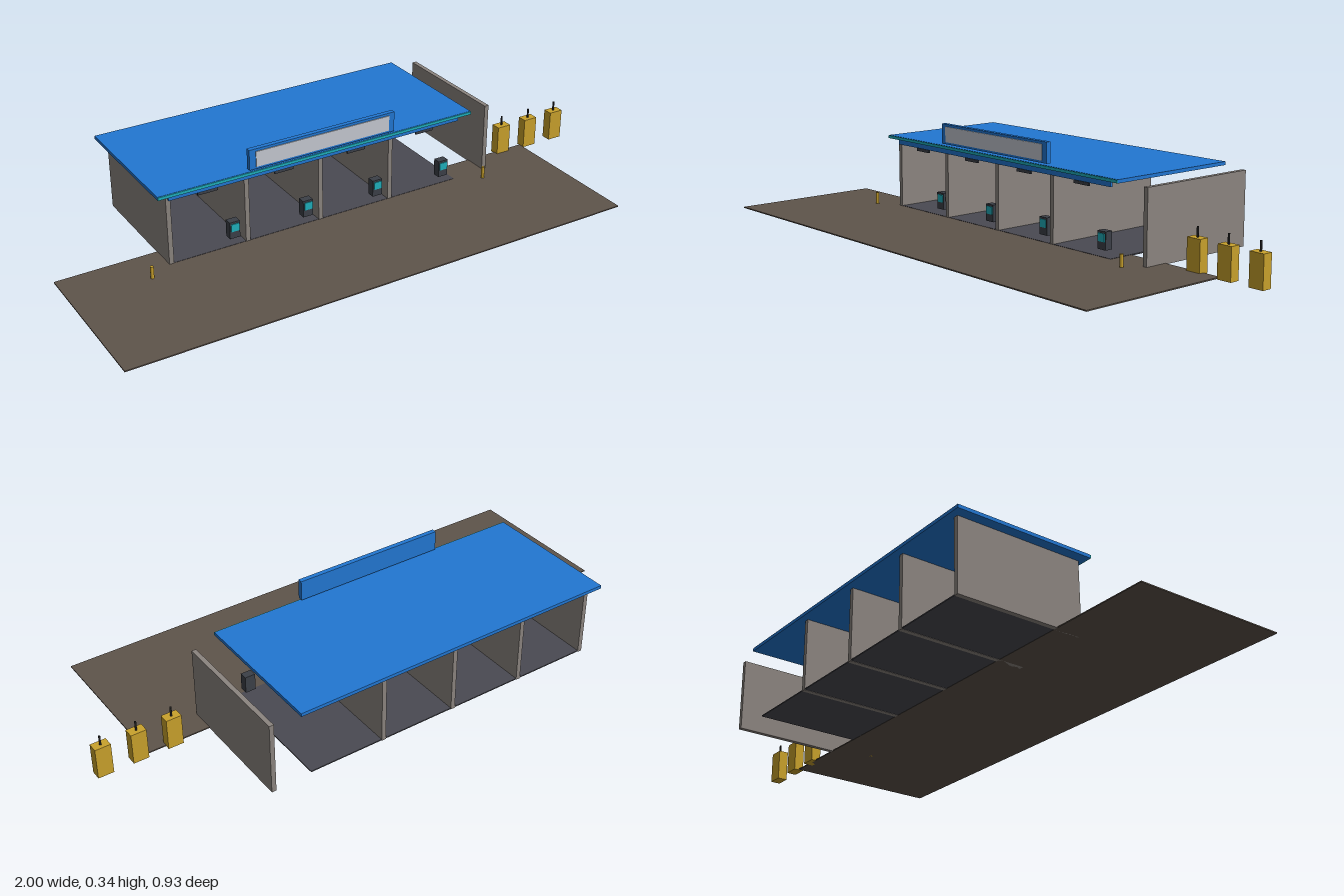
import * as THREE from 'three';

const paint = (name, color) => {
  const m = new THREE.MeshStandardMaterial({ color });
  m.name = name;
  return m;
};

export function createModel() {
  const blue = paint('blue', 0x2277d2);
  const teal = paint('teal', 0x1fb0bd);
  const wallGrey = paint('wallGrey', 0x8c8580);
  const asphalt = paint('asphalt', 0x5e544b);
  const concrete = paint('bayFloorGrey', 0x4a4a52);
  const signWhite = paint('signPanelGrey', 0xc6cad2);
  const slate = paint('slate', 0x3c4048);
  const yellow = paint('yellow', 0xcaa22c);
  const black = paint('black', 0x222222);

  const root = new THREE.Group();
  root.name = 'carWash';

  // Box given by its min and max on each axis
  const box = (name, mat, [x0, x1], [y0, y1], [z0, z1], parent = root) => {
    const mesh = new THREE.Mesh(new THREE.BoxGeometry(x1 - x0, y1 - y0, z1 - z0), mat);
    mesh.position.set((x0 + x1) / 2, (y0 + y1) / 2, (z0 + z1) / 2);
    mesh.name = name;
    parent.add(mesh);
    return mesh;
  };
  const around = (c, size) => [c - size / 2, c + size / 2];

  // Ground
  box('forecourt', asphalt, [-1, 0.823], [0, 0.004], [-0.08, 0.466]);
  box('bayFloor', concrete, [-0.64, 0.457], [0.001, 0.005], [-0.442, 0.012]);

  // Bay dividing walls and the separate end wall
  const bay = 0.275;
  for (let i = 0; i < 4; i++) {
    box('bayWall', wallGrey, around(-0.64 + i * bay, 0.016), [0, 0.252], [-0.443, 0.013]);
  }
  box('endWall', wallGrey, around(0.595, 0.016), [0, 0.252], [-0.45, 0.003]);

  // Roof with front trim and fascia
  box('roof', blue, [-0.682, 0.503], [0.253, 0.265], [-0.467, 0.031]);
  box('roofTrim', teal, [-0.682, 0.503], [0.254, 0.264], [0.031, 0.035]);
  box('fascia', blue, [-0.64, 0.46], [0.234, 0.253], [0.011, 0.019]);

  // Roof sign
  const sign = new THREE.Group();
  sign.name = 'roofSign';
  root.add(sign);
  box('signFrame', blue, [-0.363, 0.184], [0.272, 0.343], [0.018, 0.035], sign);
  box('signPanel', signWhite, [-0.34, 0.162], [0.28, 0.334], [0.035, 0.038], sign);

  // Per bay: entrance clearance bar and payment kiosk
  for (let i = 0; i < 4; i++) {
    box('clearanceBar', slate, around(-0.502 + i * bay, 0.07), [0.222, 0.232], [0.008, 0.014]);
    const x = -0.41 + i * 0.274;
    box('kioskBody', slate, around(x, 0.037), [0.026, 0.086], [-0.02, 0.008]);
    box('kioskScreen', teal, around(x, 0.029), [0.052, 0.079], [0.008, 0.011]);
  }

  // Vacuum stations
  for (const x of [0.732, 0.853, 0.973]) {
    box('vacuumBody', yellow, around(x, 0.053), [0, 0.109], [-0.097, -0.062]);
    const pole = new THREE.Mesh(new THREE.CylinderGeometry(0.0035, 0.0035, 0.034, 8), black);
    pole.position.set(x, 0.125, -0.08);
    pole.name = 'vacuumPole';
    root.add(pole);
  }

  // Bollards
  for (const x of [-0.728, 0.55]) {
    const post = new THREE.Mesh(new THREE.CylinderGeometry(0.006, 0.006, 0.046, 12), yellow);
    post.position.set(x, 0.023, 0.058);
    post.name = 'bollard';
    root.add(post);
  }

  return root;
}
